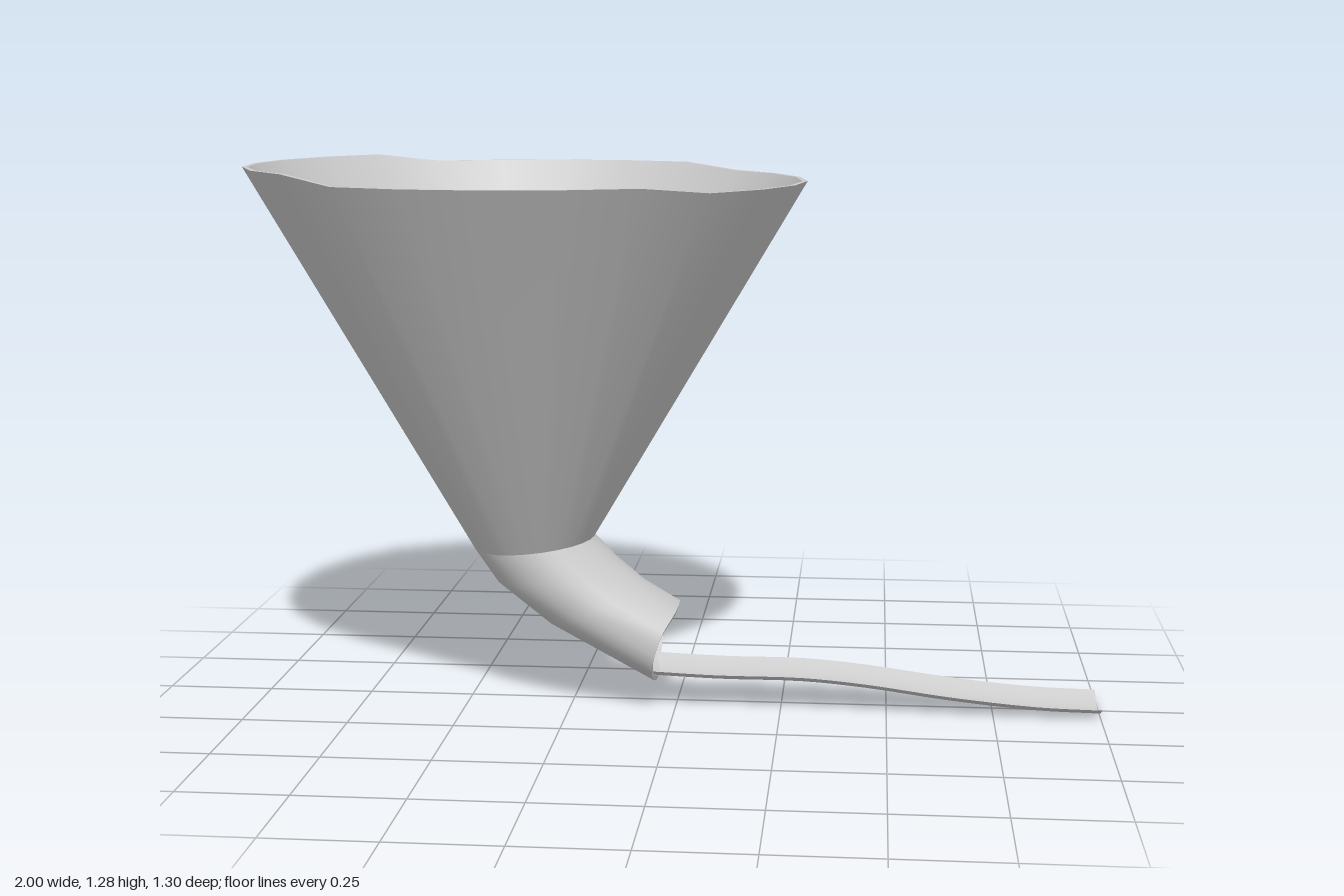
import * as THREE from 'three';
import { toCreasedNormals } from 'three/addons/utils/BufferGeometryUtils.js';

const SIDES = 24;
const WALL = 0.012;

// Skins a list of equally long point rows; optionally closes around and along.
function loft(rows, closeAround, closeAlong) {
  const n = rows[0].length, m = rows.length, index = [];
  for (let j = 0; j < (closeAlong ? m : m - 1); j++) {
    for (let i = 0; i < (closeAround ? n : n - 1); i++) {
      const a = j * n + i, b = j * n + (i + 1) % n;
      const c = ((j + 1) % m) * n + i, d = ((j + 1) % m) * n + (i + 1) % n;
      index.push(a, b, c, b, d, c);
    }
  }
  const geometry = new THREE.BufferGeometry();
  geometry.setAttribute('position', new THREE.Float32BufferAttribute(rows.flat(2), 3));
  geometry.setIndex(index);
  geometry.computeVertexNormals();
  return toCreasedNormals(geometry, Math.PI / 4);
}

// Ring spanning from its inner-bend point (tx, ty) to its outer-bend point (bx, by).
function ring({ t, b, w, square = 1, recess = 0, rim }, inset) {
  const cx = (t[0] + b[0]) / 2, cy = (t[1] + b[1]) / 2;
  let hx = (t[0] - b[0]) / 2, hy = (t[1] - b[1]) / 2;
  const scale = 1 - inset / Math.hypot(hx, hy);
  hx *= scale;
  hy *= scale;
  return Array.from({ length: SIDES }, (_, i) => {
    const a = (i / SIDES) * Math.PI * 2, c = Math.cos(a), s = Math.sin(a);
    const p = c > 0 ? square : 1;
    const u = Math.sign(c) * Math.abs(c) ** p, v = Math.sign(s) * Math.abs(s) ** p;
    return [cx + hx * u - recess * s * s, rim ? rim(c) : cy + hy * u, (w - inset) * v];
  });
}

// Walled tube: outer skin downwards, inner skin back up.
function walledTube(sections) {
  const outer = sections.map((s) => ring(s, 0));
  const inner = sections.map((s) => ring(s, WALL)).reverse();
  return loft([...outer, ...inner], true, true);
}

export function createModel() {
  const group = new THREE.Group();
  const material = new THREE.MeshStandardMaterial({ color: 0xcccccc, side: THREE.DoubleSide });
  const add = (name, geometry) => {
    const mesh = new THREE.Mesh(geometry, material);
    mesh.name = name;
    group.add(mesh);
  };

  // Funnel cone, its rim stepping down from back to outlet side
  const rim = (c) => (c > 0.6 ? 1.245 : c < -0.6 ? 1.28 : 1.26);
  const neck = { t: [-0.2, 0.4], b: [-0.485, 0.37], w: 0.145 };
  add('funnel', walledTube([{ t: [0.3, 1.26], b: [-1, 1.26], w: 0.65, rim }, neck]));

  // Bent outlet spout
  add('spout', walledTube([
    neck,
    { t: [-0.145, 0.345], b: [-0.43, 0.29], w: 0.145 },
    { t: [-0.08, 0.29], b: [-0.31, 0.195], w: 0.145 },
    { t: [0.003, 0.235], b: [-0.048, 0.055], w: 0.138, square: 0.7, recess: 0.02 },
  ]));

  // Shallow curved trough running down from the spout
  const path = new THREE.CatmullRomCurve3([
    [-0.065, 0.067], [0.1, 0.061], [0.3, 0.06], [0.45, 0.048],
    [0.65, 0.022], [0.85, 0.004], [1, 0],
  ].map(([x, y]) => new THREE.Vector3(x, y, 0)));
  const rows = path.getPoints(24).map((p) =>
    Array.from({ length: 9 }, (_, i) => {
      const k = i / 4 - 1;
      return [p.x, p.y + 0.027 * k * k, 0.085 * k];
    }));
  add('trough', loft(rows, false, false));

  return group;
}
